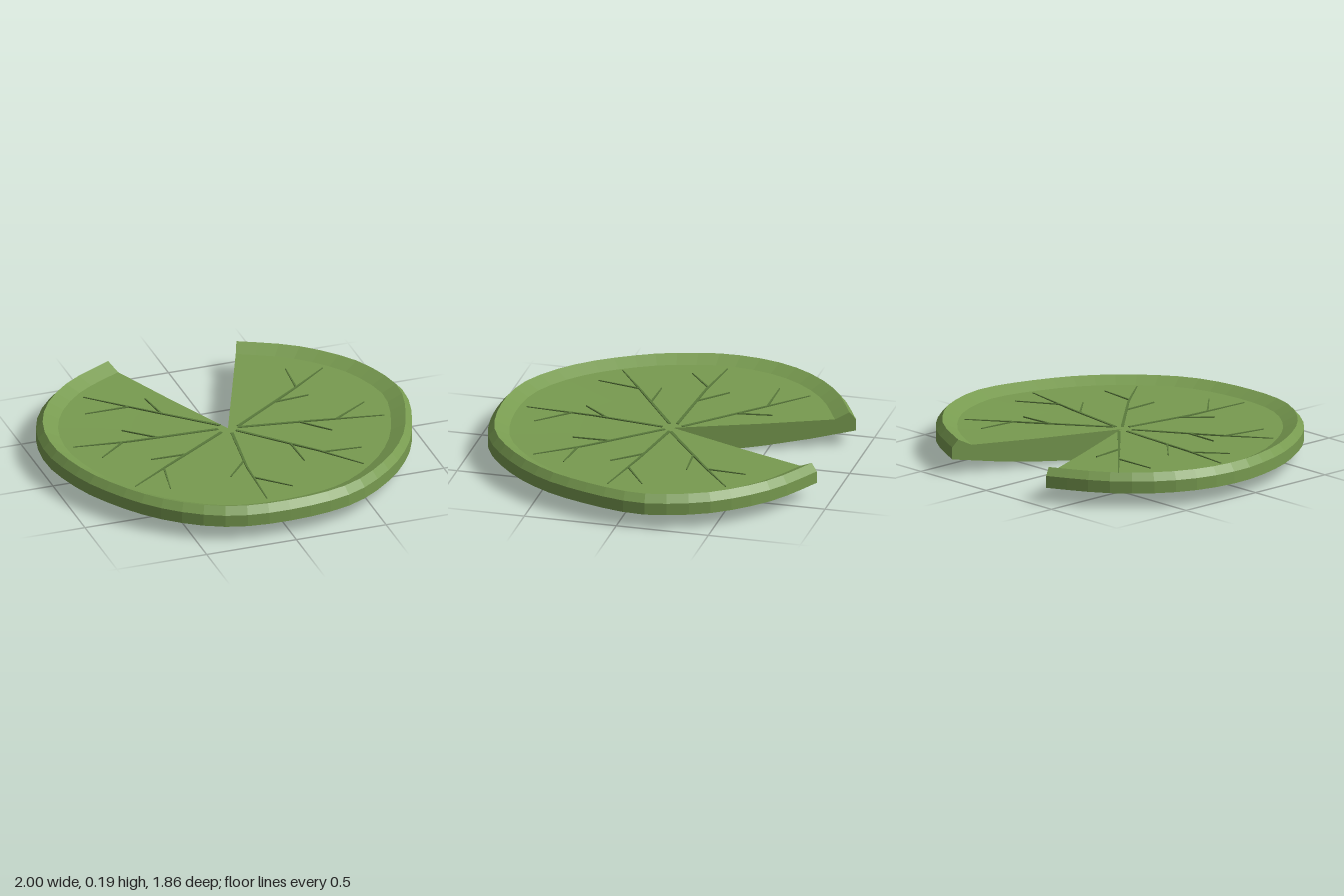
import * as THREE from 'three';

const SEGMENTS = 46;
const CENTER = new THREE.Vector2(-0.012, -0.037);
const FLOOR = 0.149;

// Leaf outline in x, z, from the right notch tip round the front to the left tip
const OUTLINE = [
  [0.35, -0.915], [0.64, -0.755], [0.865, -0.52], [0.97, -0.29], [1, -0.1], [0.95, 0.14],
  [0.83, 0.43], [0.63, 0.68], [0.35, 0.87], [-0.02, 0.93], [-0.36, 0.88], [-0.66, 0.67],
  [-0.88, 0.35], [-0.98, 0.06], [-1, -0.155], [-0.96, -0.38], [-0.85, -0.59], [-0.66, -0.78],
  [-0.385, -0.93],
];

// Cross-section as radius fraction and height: underside, rim wall, bevel, inner slope, floor
const PROFILE = [
  [0, 0], [0.25, 0.005], [0.5, 0.021], [0.75, 0.046], [1, 0.08],
  [1, 0.145], [0.965, 0.185], [0.885, FLOOR], [0.5, FLOOR - 0.003], [0, FLOOR],
];

// Each vein: main stem points, then two side branches, in x, z
const VEINS = [
  [[[-0.04, -0.08], [-0.29, -0.315], [-0.61, -0.62]], [[-0.285, -0.305], [-0.31, -0.497]], [[-0.425, -0.44], [-0.665, -0.44]]],
  [[[-0.065, -0.045], [-0.555, -0.07], [-0.85, -0.107]], [[-0.39, -0.06], [-0.545, -0.2]], [[-0.59, -0.07], [-0.745, 0.055]]],
  [[[-0.06, -0.005], [-0.46, 0.26], [-0.69, 0.42]], [[-0.32, 0.165], [-0.51, 0.16]], [[-0.48, 0.28], [-0.525, 0.505]]],
  [[[-0.01, 0.02], [-0.065, 0.41], [-0.085, 0.78]], [[-0.055, 0.335], [-0.18, 0.48]], [[-0.07, 0.53], [0.09, 0.69]]],
  [[[0.02, 0], [0.35, 0.355], [0.525, 0.58]], [[0.24, 0.24], [0.245, 0.44]], [[0.37, 0.38], [0.578, 0.4]]],
  [[[0.04, -0.03], [0.43, 0.03], [0.81, 0.1]], [[0.37, 0.025], [0.497, 0.165]], [[0.56, 0.053], [0.76, -0.075]]],
  [[[0.045, -0.04], [0.48, -0.353], [0.685, -0.51]], [[0.325, -0.235], [0.513, -0.25]], [[0.48, -0.353], [0.497, -0.567]]],
];

// Point on the pad for an outline point and a cross-section point
function padPoint(edge, r, y) {
  return [CENTER.x + (edge.x - CENTER.x) * r, y, CENTER.y + (edge.y - CENTER.y) * r];
}

// Sweep the cross-section round the outline, with one facet per quad
function padGeometry(edges) {
  const positions = [];
  const rows = PROFILE.length;
  const corner = (i, j) => positions.push(...padPoint(edges[i], PROFILE[j][0], PROFILE[j][1]));
  for (let i = 0; i < SEGMENTS; i++) {
    for (let j = 0; j < rows - 1; j++) {
      if (PROFILE[j][0] > 0) {
        corner(i, j); corner(i, j + 1); corner(i + 1, j);
      }
      if (PROFILE[j + 1][0] > 0) {
        corner(i + 1, j); corner(i, j + 1); corner(i + 1, j + 1);
      }
    }
  }
  const geometry = new THREE.BufferGeometry();
  geometry.setAttribute('position', new THREE.Float32BufferAttribute(positions, 3));
  geometry.computeVertexNormals();
  return geometry;
}

// Flat wall closing the pad along one side of the notch
function notchWall(edge, flip) {
  const shape = new THREE.Shape(PROFILE.map(([r, y]) => new THREE.Vector2(r, y)));
  const geometry = new THREE.ShapeGeometry(shape);
  const position = geometry.attributes.position;
  for (let i = 0; i < position.count; i++) {
    position.setXYZ(i, ...padPoint(edge, position.getX(i), position.getY(i)));
  }
  if (flip) geometry.index.array.reverse();
  geometry.computeVertexNormals();
  return geometry;
}

// Thin raised strip along a path, tapering to its tip
function veinGeometry(path, width) {
  const points = path.map(([x, z]) => new THREE.Vector2(x, z));
  const last = points.length - 1;
  const left = [], right = [];
  points.forEach((p, i) => {
    const dir = points[Math.min(i + 1, last)].clone().sub(points[Math.max(i - 1, 0)]).normalize();
    const half = THREE.MathUtils.lerp(width, 0.005, i / last) / 2;
    left.push(new THREE.Vector2(p.x - dir.y * half, p.y + dir.x * half));
    right.unshift(new THREE.Vector2(p.x + dir.y * half, p.y - dir.x * half));
  });
  const geometry = new THREE.ExtrudeGeometry(new THREE.Shape([...left, ...right]), { depth: 0.009, bevelEnabled: false });
  geometry.rotateX(Math.PI / 2);
  geometry.translate(0, FLOOR + 0.004, 0);
  return geometry;
}

export function createModel() {
  const leafGreen = new THREE.MeshStandardMaterial({ color: 0x789b50 });
  leafGreen.name = 'leafGreen';
  const veinGreen = new THREE.MeshStandardMaterial({ color: 0x5a7a3c });
  veinGreen.name = 'veinGreen';

  const model = new THREE.Group();
  model.name = 'lilyPad';
  const add = (parent, name, geometry, material) => {
    const mesh = new THREE.Mesh(geometry, material);
    mesh.name = name;
    parent.add(mesh);
  };

  // Pad with its raised rim and the two notch walls
  const curve = new THREE.SplineCurve(OUTLINE.map(([x, z]) => new THREE.Vector2(x, z)));
  const edges = curve.getSpacedPoints(SEGMENTS);
  add(model, 'pad', padGeometry(edges), leafGreen);
  add(model, 'rightNotchWall', notchWall(edges[SEGMENTS], false), leafGreen);
  add(model, 'leftNotchWall', notchWall(edges[0], true), leafGreen);

  // Seven veins, each with two side branches
  VEINS.forEach(([stem, ...branches], i) => {
    const vein = new THREE.Group();
    vein.name = `vein${i + 1}`;
    add(vein, 'stem', veinGeometry(stem, 0.016), veinGreen);
    branches.forEach((branch) => add(vein, 'branch', veinGeometry(branch, 0.01), veinGreen));
    model.add(vein);
  });
  return model;
}
